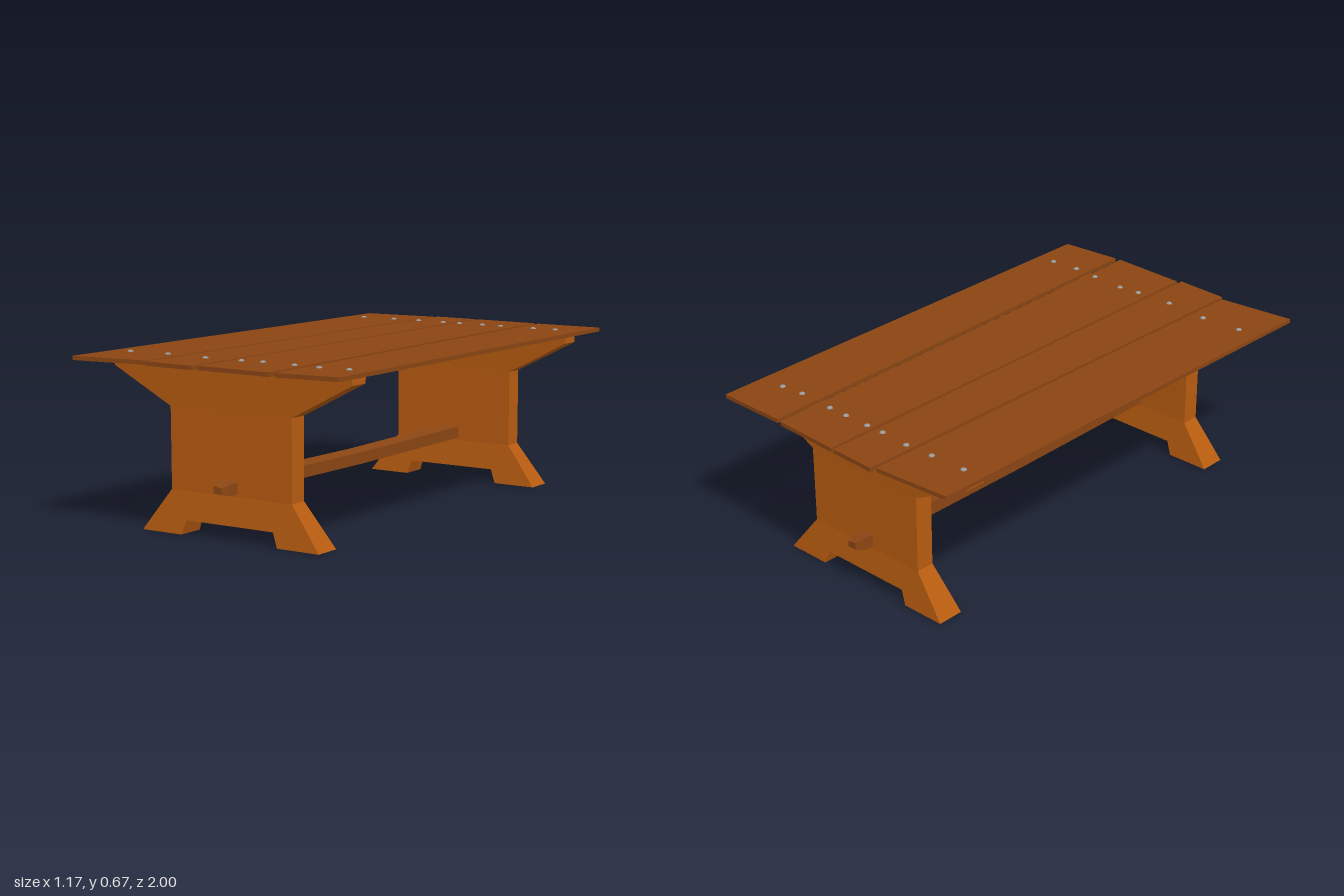
import * as THREE from 'three';

// Skin a stack of rings (each counter-clockwise seen from the last ring) and cap both ends
function loft(rings) {
  const pos = [];
  const tri = (a, b, c) => pos.push(...a, ...b, ...c);
  const n = rings[0].length;
  for (let r = 0; r < rings.length - 1; r++) {
    const a = rings[r], b = rings[r + 1];
    for (let i = 0; i < n; i++) {
      const j = (i + 1) % n;
      tri(a[i], a[j], b[j]);
      tri(a[i], b[j], b[i]);
    }
  }
  const first = rings[0], last = rings[rings.length - 1];
  for (let i = 1; i < n - 1; i++) {
    tri(first[0], first[i + 1], first[i]);
    tri(last[0], last[i], last[i + 1]);
  }
  const g = new THREE.BufferGeometry();
  g.setAttribute('position', new THREE.Float32BufferAttribute(pos, 3));
  g.computeVertexNormals();
  return g;
}

// Horizontal rectangle: height, left x, right x, half depth
const row = ([y, x0, x1, d]) => [[x0, y, d], [x1, y, d], [x1, y, -d], [x0, y, -d]];

export function createModel() {
  const table = new THREE.Group();
  table.name = 'trestleTable';
  const legWood = new THREE.MeshStandardMaterial({ color: 0xb85c10, flatShading: true });
  const darkWood = new THREE.MeshStandardMaterial({ color: 0x8b4513, flatShading: true });
  const metal = new THREE.MeshStandardMaterial({ color: 0x999999 });
  const add = (parent, name, geo, mat) => {
    const m = new THREE.Mesh(geo, mat);
    m.name = name;
    parent.add(m);
    return m;
  };

  // Trestle ends: a waisted board on two splayed feet
  const board = loft([
    [0.056, -0.352, 0.367, 0.049], [0.165, -0.267, 0.282, 0.038], [0.477, -0.268, 0.283, 0.038],
    [0.612, -0.53, 0.545, 0.042], [0.645, -0.53, 0.545, 0.043],
  ].map(row));
  const feet = [
    loft([[0, -0.395, -0.212, 0.055], [0.056, -0.352, -0.19, 0.049]].map(row)),
    loft([[0, 0.227, 0.41, 0.055], [0.056, 0.205, 0.367, 0.049]].map(row)),
  ];
  for (const [name, z] of [['frontTrestle', 0.783], ['backTrestle', -0.783]]) {
    const trestle = new THREE.Group();
    trestle.name = name;
    trestle.position.z = z;
    add(trestle, 'trestleBoard', board, legWood);
    feet.forEach((f) => add(trestle, 'foot', f, legWood));
    table.add(trestle);
  }

  // Stretcher beam with chamfered ends and a slight bow: z, left, right, bottom, top
  const beam = [
    [-0.895, -0.015, 0.025, 0.185, 0.214], [-0.86, -0.03, 0.038, 0.176, 0.224],
    [-0.7, -0.03, 0.038, 0.176, 0.23], [0, -0.028, 0.036, 0.17, 0.224],
    [0.7, -0.03, 0.038, 0.176, 0.23], [0.86, -0.03, 0.038, 0.176, 0.225],
    [0.895, -0.015, 0.025, 0.185, 0.214],
  ].map(([z, x0, x1, y0, y1]) => [[x0, y0, z], [x1, y0, z], [x1, y1 - 0.007, z], [x0, y1, z]]);
  add(table, 'stretcherBeam', loft(beam), darkWood);

  // Uneven planks: front left, front right, back right, back left (x, z)
  const planks = [
    [[-0.587, 0.998], [-0.268, 0.963], [-0.242, -0.985], [-0.561, -0.96]],
    [[-0.253, 0.98], [-0.032, 0.99], [-0.032, -0.995], [-0.226, -1]],
    [[-0.018, 0.977], [0.304, 0.988], [0.265, -0.985], [-0.017, -0.995]],
    [[0.328, 0.986], [0.584, 0.963], [0.58, -0.98], [0.288, -0.98]],
  ];
  for (const p of planks) {
    add(table, 'plank', loft([0.644, 0.66].map((y) => p.map(([x, z]) => [x, y, z]))), darkWood);
  }

  // Domed nail heads
  const nail = new THREE.SphereGeometry(0.012, 10, 4, 0, Math.PI * 2, 0, Math.PI / 2).scale(1, 0.6, 1);
  const nails = [
    [-0.475, -0.785], [-0.322, -0.79], [-0.2, -0.797], [-0.07, -0.789], [0.01, -0.79],
    [0.123, -0.79], [0.212, -0.789], [0.373, -0.782], [0.471, -0.792],
    [-0.495, 0.776], [-0.322, 0.766], [-0.133, 0.782], [0.028, 0.777],
    [0.118, 0.767], [0.265, 0.777], [0.378, 0.786], [0.5, 0.777],
  ];
  for (const [x, z] of nails) add(table, 'nailHead', nail, metal).position.set(x, 0.66, z);

  return table;
}
